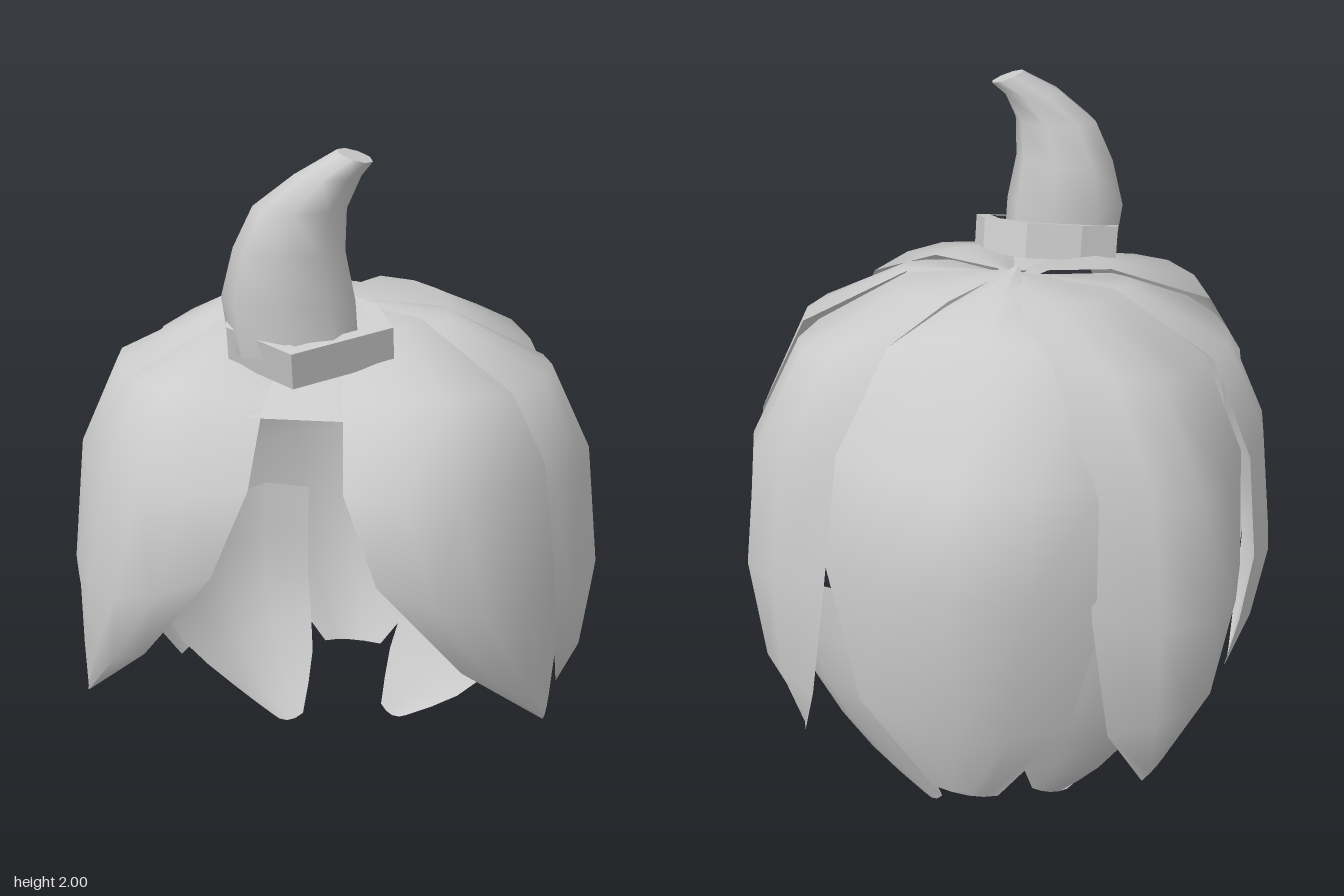
import * as THREE from 'three';
import { mergeVertices } from 'three/addons/utils/BufferGeometryUtils.js';

const grey = new THREE.MeshStandardMaterial({ color: 0xcccccc, side: THREE.DoubleSide });
const flat = new THREE.MeshStandardMaterial({ color: 0xcccccc, flatShading: true });

// Smooth grid surface from a function (u, v) -> Vector3
function gridSurface(point, rows, cols) {
  const pos = [], index = [];
  for (let i = 0; i <= rows; i++) {
    for (let j = 0; j <= cols; j++) pos.push(...point(i / rows, j / cols).toArray());
  }
  for (let i = 0; i < rows; i++) {
    for (let j = 0; j < cols; j++) {
      const a = i * (cols + 1) + j, b = a + cols + 1;
      index.push(a, b, a + 1, b, b + 1, a + 1);
    }
  }
  const g = new THREE.BufferGeometry();
  g.setAttribute('position', new THREE.Float32BufferAttribute(pos, 3));
  g.setIndex(index);
  const welded = mergeVertices(g);
  welded.computeVertexNormals();
  return welded;
}

// Curved leaf lofted through an edge rail, a middle rail and the other edge rail
function petal(name, rails, side = 1) {
  const [a, m, b] = rails.map(r => new THREE.CatmullRomCurve3(
    r.map(([x, y, z]) => new THREE.Vector3(x * side, y, z)), false, 'centripetal'));
  const g = gridSurface((u, v) => new THREE.Vector3()
    .addScaledVector(a.getPoint(u), (1 - v) * (1 - 2 * v))
    .addScaledVector(m.getPoint(u), 4 * v * (1 - v))
    .addScaledVector(b.getPoint(u), v * (2 * v - 1)), 6, 4);
  const mesh = new THREE.Mesh(g, grey);
  mesh.name = name;
  return mesh;
}

const frontRails = [
  [[0, 1.5, 0.02], [0.07, 1.47, 0.35], [0.1, 1.4, 0.57], [0.12, 1.2, 0.71], [0.21, 0.98, 0.76], [0.42, 0.7, 0.64], [0.63, 0.49, 0.46]],
  [[0, 1.52, 0.01], [0.18, 1.5, 0.28], [0.36, 1.41, 0.55], [0.41, 1.19, 0.69], [0.48, 0.88, 0.69], [0.58, 0.65, 0.57], [0.64, 0.49, 0.44]],
  [[0, 1.53, 0], [0.26, 1.51, 0.14], [0.52, 1.37, 0.35], [0.61, 1.2, 0.4], [0.65, 0.9, 0.43], [0.66, 0.65, 0.37], [0.65, 0.5, 0.33]],
];
const sideRails = [
  [[0, 1.5, 0.03], [0.24, 1.46, 0.25], [0.44, 1.34, 0.44], [0.54, 1.1, 0.5], [0.6, 0.8, 0.47], [0.66, 0.62, 0.34], [0.67, 0.39, 0.03]],
  [[0, 1.52, 0.01], [0.33, 1.5, 0.09], [0.6, 1.36, 0.14], [0.71, 1.12, 0.14], [0.755, 0.75, 0.12], [0.73, 0.54, 0.08], [0.67, 0.37, -0.02]],
  [[0, 1.53, 0], [0.3, 1.51, -0.02], [0.59, 1.36, -0.09], [0.71, 1.1, -0.14], [0.74, 0.8, -0.14], [0.71, 0.58, -0.13], [0.67, 0.39, -0.08]],
];
const backSideRails = [
  [[0, 1.53, 0], [0.3, 1.5, 0.02], [0.56, 1.35, -0.04], [0.68, 1.1, -0.1], [0.7, 0.75, -0.12], [0.66, 0.45, -0.2], [0.55, 0.23, -0.31]],
  [[0, 1.54, -0.02], [0.27, 1.52, -0.19], [0.49, 1.39, -0.36], [0.62, 1.1, -0.43], [0.66, 0.75, -0.44], [0.62, 0.45, -0.44], [0.53, 0.23, -0.4]],
  [[0, 1.54, -0.04], [0.1, 1.53, -0.28], [0.22, 1.45, -0.44], [0.34, 1.17, -0.54], [0.37, 0.8, -0.6], [0.42, 0.45, -0.6], [0.5, 0.23, -0.48]],
];
const leftInnerRails = [
  [[0.24, 0.77, -0.58], [0.19, 0.45, -0.58], [0.12, 0.2, -0.51], [0.1, 0.03, -0.43]],
  [[0.5, 0.72, -0.46], [0.43, 0.4, -0.46], [0.28, 0.14, -0.42], [0.14, 0, -0.41]],
  [[0.65, 0.53, -0.2], [0.53, 0.32, -0.28], [0.36, 0.13, -0.33], [0.19, 0.02, -0.38]],
];
const rightInnerRails = [
  [[0.16, 0.75, -0.55], [0.16, 0.45, -0.52], [0.13, 0.22, -0.42], [0.15, 0.03, -0.33]],
  [[0.42, 0.74, -0.45], [0.41, 0.42, -0.42], [0.3, 0.14, -0.36], [0.2, 0.01, -0.31]],
  [[0.62, 0.55, -0.15], [0.52, 0.32, -0.22], [0.37, 0.15, -0.27], [0.25, 0.03, -0.31]],
];
const mirrorRail = rail => rail.map(([x, y, z]) => [-x - 0.03, y, z]);
const backEdge = [[0, 1.53, 0], [0.12, 1.5, -0.25], [0.25, 1.42, -0.4], [0.36, 1.17, -0.51], [0.38, 0.85, -0.56], [0.28, 0.45, -0.6], [0.08, 0.18, -0.58]];
const backMiddle = [[-0.02, 1.55, 0], [-0.03, 1.535, -0.2], [-0.03, 1.48, -0.38], [-0.03, 1.18, -0.68], [-0.03, 0.9, -0.765], [-0.03, 0.45, -0.71], [-0.03, 0.18, -0.6]];
const bridgeEdge = [[0.04, 1.5, 0.02], [0.12, 1.46, 0.35], [0.13, 1.36, 0.61]];
const bridgeMiddle = [[0, 1.5, 0.02], [0, 1.47, 0.35], [0, 1.36, 0.61]];

// Stem: a tapering, bent stack of ovals [y, centre x, centre z, radius x, radius z]
function stem() {
  const rings = [
    [1.48, -0.05, 0.4, 0.17, 0.12], [1.62, -0.065, 0.4, 0.175, 0.13],
    [1.75, -0.06, 0.41, 0.145, 0.125], [1.86, -0.03, 0.42, 0.12, 0.105],
    [1.94, 0.04, 0.41, 0.085, 0.09], [1.985, 0.105, 0.38, 0.045, 0.07],
  ];
  const top = rings.length - 1;
  const group = new THREE.Group();
  group.name = 'stem';
  const at = (i, v) => {
    const [y, cx, cz, rx, rz] = rings[i], a = -(v % 1) * Math.PI * 2;
    // the cut end leans towards the tip of the bend
    const lean = i === top ? -0.33 * Math.cos(a) * rx : 0;
    return new THREE.Vector3(cx + rx * Math.cos(a), y + lean, cz + rz * Math.sin(a));
  };
  const side = new THREE.Mesh(gridSurface((u, v) => at(Math.round(u * top), v), top, 8), grey);
  side.name = 'stemSide';
  const [y, cx, cz] = rings[top];
  const cap = new THREE.Mesh(gridSurface((u, v) =>
    new THREE.Vector3(cx, y, cz).lerp(at(top, v), u), 1, 8), grey);
  cap.name = 'stemEnd';
  group.add(side, cap);
  return group;
}

// Collar: a tilted, uneven polygonal ring round the foot of the stem
function collar() {
  const outline = [[0.02, -0.19], [0.17, -0.1], [0.23, 0.03], [-0.01, 0.19], [-0.2, 0.06], [-0.22, -0.05], [-0.13, -0.13]];
  const loop = k => outline.map(([x, z]) => new THREE.Vector2(x * k, -z * k));
  const shape = new THREE.Shape(loop(1));
  shape.holes.push(new THREE.Path(loop(0.78)));
  const g = new THREE.ExtrudeGeometry(shape, { depth: 0.1, bevelEnabled: false });
  g.rotateX(-Math.PI / 2).rotateX(0.24).translate(-0.02, 1.465, 0.36);
  const mesh = new THREE.Mesh(g, flat);
  mesh.name = 'collar';
  return mesh;
}

export function createModel() {
  const model = new THREE.Group();
  model.name = 'leafCap';
  // Paired leaves; only the inner ones differ from side to side
  for (const [label, s, inner] of [['left', 1, leftInnerRails], ['right', -1, rightInnerRails]]) {
    model.add(
      petal(label + 'FrontLeaf', frontRails, s),
      petal(label + 'SideLeaf', sideRails, s),
      petal(label + 'BackSideLeaf', backSideRails, s),
      petal(label + 'InnerLeaf', inner, s),
    );
  }
  // Single leaves on the centre line
  model.add(petal('backLeaf', [backEdge, backMiddle, mirrorRail(backEdge)]));
  model.add(petal('frontBridge', [bridgeEdge, bridgeMiddle, bridgeEdge.map(([x, y, z]) => [-x, y, z])]));
  model.add(stem(), collar());
  return model;
}
